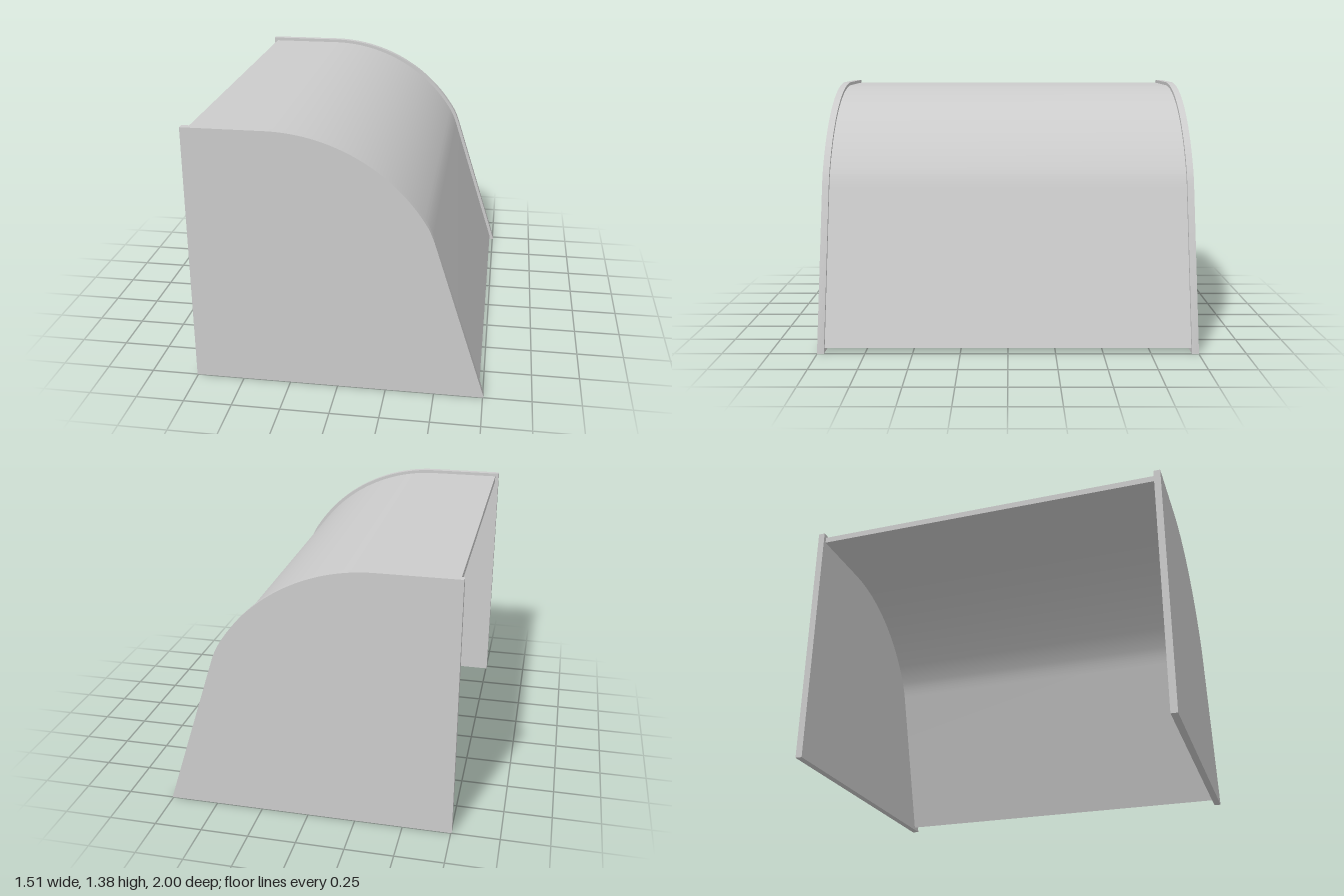
import * as THREE from 'three';
import { toCreasedNormals } from 'three/addons/utils/BufferGeometryUtils.js';

const PANEL = 0.036; // end panel thickness
const INSET = 0.018; // lip of the panels above the sheet
const SHEET = 0.033; // sheet thickness

// Outer outline: flat top, large arc, small fillet, sloping front
function outline() {
  const path = new THREE.Path();
  path.moveTo(-0.755, 1.375);
  path.lineTo(-0.34, 1.375);
  path.absarc(-0.34, 0.455, 0.92, Math.PI / 2, THREE.MathUtils.degToRad(31), true);
  path.quadraticCurveTo(0.468, 0.895, 0.485, 0.845);
  path.lineTo(0.755, 0.005);
  return path.getPoints(28);
}

// Shift an open polyline inward along its averaged normals
function offset(points, d) {
  return points.map((p, i) => {
    const a = points[Math.max(i - 1, 0)];
    const b = points[Math.min(i + 1, points.length - 1)];
    const t = b.clone().sub(a).normalize();
    return new THREE.Vector2(p.x + t.y * d, p.y - t.x * d);
  });
}

function extrude(name, points, depth, z) {
  const raw = new THREE.ExtrudeGeometry(new THREE.Shape(points), { depth, bevelEnabled: false });
  const mesh = new THREE.Mesh(
    toCreasedNormals(raw, 0.4),
    new THREE.MeshStandardMaterial({ color: 0xcccccc })
  );
  mesh.name = name;
  mesh.position.z = z;
  return mesh;
}

export function createModel() {
  const group = new THREE.Group();
  group.name = 'curvedCover';
  const edge = outline();

  // Two matching end panels
  const panel = [...edge, new THREE.Vector2(0.755, 0), new THREE.Vector2(-0.755, 0)];
  group.add(extrude('frontPanel', panel, PANEL, 1 - PANEL));
  group.add(extrude('backPanel', panel, PANEL, -1));

  // Bent sheet between the panels, slightly short at both ends
  const run = edge.map((p) => p.clone());
  run[0].x += 0.02;
  const last = run[run.length - 1];
  last.add(run[run.length - 2].clone().sub(last).setLength(0.026));
  const sheet = [...offset(run, INSET), ...offset(run, INSET + SHEET).reverse()];
  group.add(extrude('bentSheet', sheet, 2 - 2 * PANEL, -1 + PANEL));

  return group;
}
